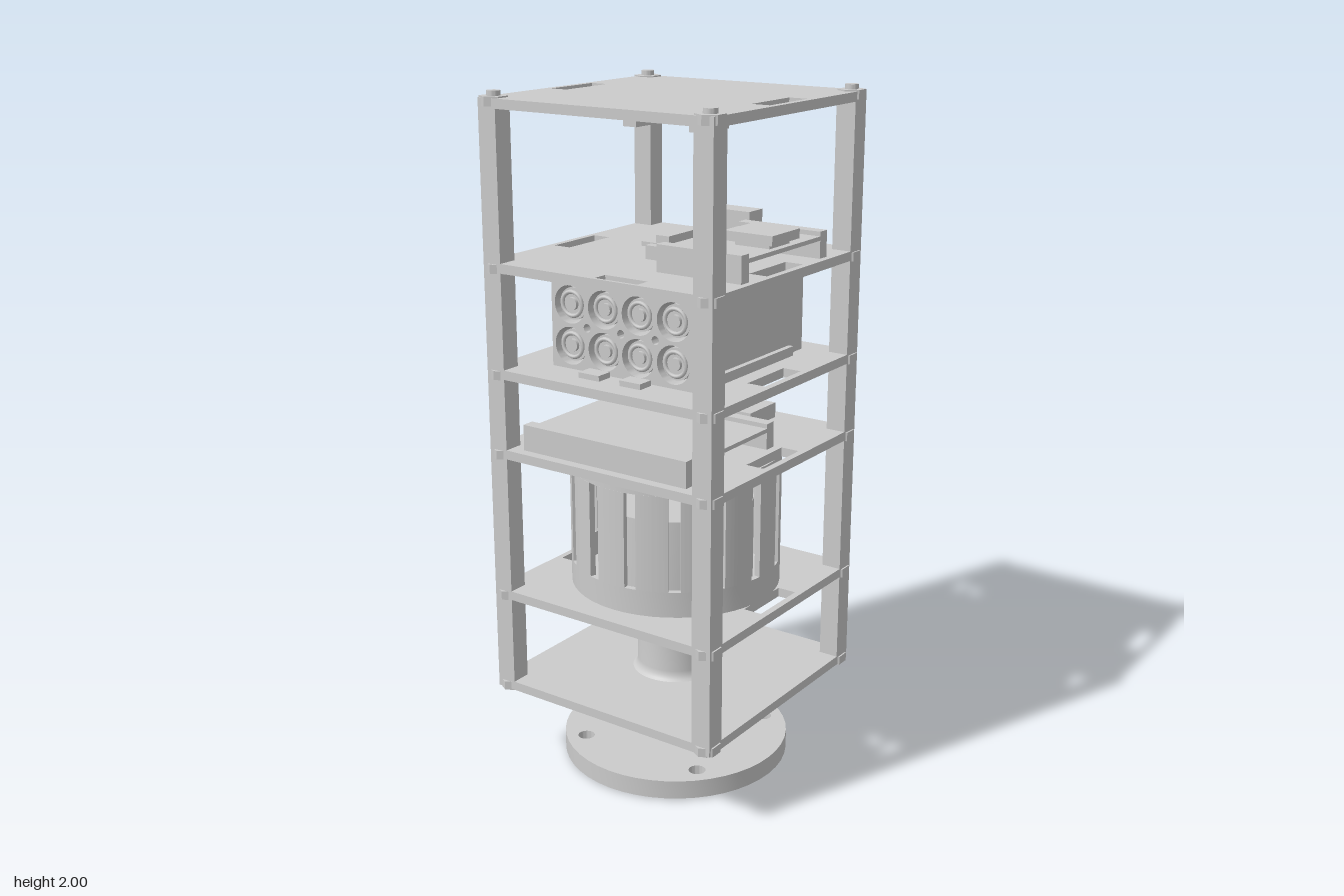
import * as THREE from 'three';
import { toCreasedNormals } from 'three/addons/utils/BufferGeometryUtils.js';

const rad = THREE.MathUtils.degToRad;

export function createModel() {
  const root = new THREE.Group();
  const mat = new THREE.MeshStandardMaterial({ color: 0xcccccc });

  const add = (name, geo) => {
    const m = new THREE.Mesh(geo, mat);
    m.name = name;
    root.add(m);
    return m;
  };
  // Box from its minimum and maximum on each axis
  const box = (name, x0, x1, y0, y1, z0, z1) =>
    add(name, new THREE.BoxGeometry(x1 - x0, y1 - y0, z1 - z0)
      .translate((x0 + x1) / 2, (y0 + y1) / 2, (z0 + z1) / 2));
  // Upright cylinder
  const cyl = (name, x, z, r, y0, y1, sides = 48) => {
    const g = new THREE.CylinderGeometry(r, r, y1 - y0, sides).translate(x, (y0 + y1) / 2, z);
    return add(name, toCreasedNormals(g, 0.6));
  };
  // Cylinder lying along x
  const cylX = (name, x0, x1, y, z, r) =>
    add(name, new THREE.CylinderGeometry(r, r, x1 - x0, 24).rotateZ(Math.PI / 2)
      .translate((x0 + x1) / 2, y, z));
  const extrude = (shape, depth) => toCreasedNormals(
    new THREE.ExtrudeGeometry(shape, { depth, bevelEnabled: false, curveSegments: 24 }), 0.6);
  // Plan outline (x, -z) raised from y0 to y1
  const riseY = (name, shape, y0, y1) =>
    add(name, extrude(shape, y1 - y0).rotateX(-Math.PI / 2).translate(0, y0, 0));
  // Side outline (-z, y) pushed from x0 to x1
  const pushX = (name, shape, x0, x1) =>
    add(name, extrude(shape, x1 - x0).rotateY(Math.PI / 2).translate(x0, 0, 0));
  const rect = (x0, x1, y0, y1, Type = THREE.Shape) => new Type([
    new THREE.Vector2(x0, y0), new THREE.Vector2(x1, y0),
    new THREE.Vector2(x1, y1), new THREE.Vector2(x0, y1)]);
  const circle = (x, y, r, Type = THREE.Shape) => new Type().absarc(x, y, r, 0, Math.PI * 2, false);
  const hole = (shape, path) => shape.holes.push(path);

  // Shelves with cable slots
  const levels = [0.245, 0.537, 0.972, 1.207, 1.51, 1.955];
  levels.forEach((y, i) => {
    const s = rect(-0.38, 0.38, -0.38, 0.38);
    if (i > 0) {
      hole(s, rect(-0.093, 0.093, 0.308, 0.362, THREE.Path));
      hole(s, rect(-0.093, 0.093, -0.36, -0.304, THREE.Path));
    }
    if (i === 4) hole(s, rect(-0.37, -0.325, -0.14, 0.0, THREE.Path));
    riseY('shelf', s, y, y + 0.027);
  });

  // Corner posts with hex nuts and bolt ends
  for (const x of [-0.35, 0.35]) for (const z of [-0.35, 0.35]) {
    box('post', x - 0.03, x + 0.03, 0.25, 1.975, z - 0.03, z + 0.03);
    levels.forEach((y, i) => {
      const y0 = i === 5 ? 1.96 : y - 0.003;
      const nut = new THREE.CylinderGeometry(0.04, 0.04, 0.026, 6).rotateY(Math.PI / 2)
        .translate(x, y0 + 0.013, z);
      add('nut', toCreasedNormals(nut, 0.3));
    });
    cyl('topBolt', x, z, 0.019, 1.96, 2.0, 20);
    cyl('bottomBolt', x, z, 0.021, 0.233, 0.285, 20);
  }

  // Round base with bolt holes
  const base = circle(0, 0, 0.34);
  for (let i = 0; i < 4; i++) {
    const a = rad(48 + 90 * i);
    hole(base, circle(0.28 * Math.cos(a), 0.28 * Math.sin(a), 0.025, THREE.Path));
  }
  riseY('base', base, 0.004, 0.06);
  cyl('baseHexSocket', 0, 0, 0.055, 0, 0.02, 6);

  // Hub, shaft and flared motor
  cyl('hub', 0, 0, 0.1, 0.06, 0.207);
  cyl('shaft', 0, 0, 0.04, 0.2, 0.28);
  const motor = [[0, 0.27], [0.132, 0.27], [0.123, 0.277], [0.117, 0.287], [0.115, 0.3], [0.115, 0.488], [0, 0.488]]
    .map(([x, y]) => new THREE.Vector2(x, y));
  add('motor', toCreasedNormals(new THREE.LatheGeometry(motor, 48), 0.6));
  cyl('motorCap', 0, 0, 0.03, 0.485, 0.505);

  // Index pin and its rounded sensor block
  cyl('indexPin', 0.23, 0, 0.02, 0.05, 0.3, 20);
  const block = new THREE.Shape();
  block.moveTo(-0.04, 0.27).lineTo(0.04, 0.27).quadraticCurveTo(0.06, 0.27, 0.06, 0.29)
    .lineTo(0.06, 0.42).quadraticCurveTo(0.06, 0.44, 0.04, 0.44)
    .lineTo(-0.04, 0.44).quadraticCurveTo(-0.06, 0.44, -0.06, 0.42)
    .lineTo(-0.06, 0.29).quadraticCurveTo(-0.06, 0.27, -0.04, 0.27);
  hole(block, circle(0, 0.365, 0.04, THREE.Path));
  pushX('sensorBlock', block, 0.21, 0.25);

  // Slotted drum: two rings joined by curved bars
  const [outer, inner] = [0.31, 0.292];
  for (const [y0, y1] of [[0.564, 0.64], [0.925, 0.972]]) {
    const ring = circle(0, 0, outer);
    hole(ring, circle(0, 0, inner, THREE.Path));
    riseY('drumRing', ring, y0, y1);
  }
  for (let i = 0; i < 15; i++) {
    const a0 = rad(-97.5 + 24 * i + 3.3), a1 = rad(-97.5 + 24 * (i + 1) - 3.3);
    const bar = new THREE.Shape().absarc(0, 0, outer, a0, a1, false).absarc(0, 0, inner, a1, a0, true);
    riseY('drumBar', bar, 0.64, 0.925);
  }
  cyl('drumCore', 0, 0, 0.23, 0.564, 0.82);

  // Lower electronics: board on two rails, and a flat module
  box('lowerRail', -0.35, -0.312, 0.998, 1.075, -0.28, 0.28);
  box('lowerRail', 0.05, 0.086, 0.998, 1.075, -0.28, 0.28);
  box('lowerBoard', -0.32, 0.06, 1.05, 1.062, -0.28, 0.28);
  box('flatModule', 0.19, 0.33, 0.998, 1.045, -0.135, 0.135);

  // Cell holder: block bored by two rows of four cells
  const holder = rect(-0.24, 0.24, 1.236, 1.488);
  const rows = [1.302, 1.42], columns = [-0.175, -0.058, 0.058, 0.175];
  for (const y of rows) for (const z of columns) {
    hole(holder, circle(z, y, 0.054, THREE.Path));
    cylX('cell', -0.245, 0.28, y, z, 0.046);
    cylX('cellTerminal', -0.255, 0.29, y, z, 0.018);
    for (const x of [-0.25, 0.285]) {
      add('cellRim', new THREE.TorusGeometry(0.034, 0.006, 6, 24).rotateY(Math.PI / 2).translate(x, y, z));
    }
  }
  for (const z of [-0.116, 0, 0.116]) hole(holder, circle(z, 1.361, 0.012, THREE.Path));
  pushX('cellHolder', holder, -0.26, 0.298);
  for (const s of [-1, 1]) {
    box('holderFoot', -0.18, 0.225, 1.233, 1.262, s * 0.247 - 0.009, s * 0.247 + 0.009);
    box('plug', -0.315, -0.265, 1.233, 1.25, s * 0.07 - 0.035, s * 0.07 + 0.035);
    cyl('plugPin', -0.285, s * 0.07, 0.01, 1.2, 1.24, 12);
  }
  box('switchBody', -0.25, -0.2, 1.285, 1.335, 0.238, 0.25);
  cylX('switchKnob', -0.24, -0.195, 1.31, 0.246, 0.01);

  // Upper electronics: raised board with a chip block
  for (const s of [-1, 1]) box('upperRail', s * 0.2 - 0.018, s * 0.2 + 0.018, 1.535, 1.613, 0.09, 0.36);
  box('upperBoard', -0.19, 0.19, 1.588, 1.6, 0.09, 0.36);
  box('chip', -0.07, 0.07, 1.613, 1.64, 0.21, 0.36);
  box('chipStem', -0.05, 0.05, 1.6, 1.613, 0.23, 0.34);

  // Socket box with two ports facing outward
  const socket = rect(-0.08, 0.08, 1.535, 1.628);
  for (const z of [-0.022, 0.022]) hole(socket, rect(z - 0.011, z + 0.011, 1.575, 1.61, THREE.Path));
  pushX('socketFace', socket, 0.29, 0.325);
  box('socketBody', 0.255, 0.291, 1.535, 1.628, -0.08, 0.08);

  // Small stand-off bracket: two feet, a bridge and a central nub (dir = way it points)
  const bracket = (y, z, dir) => {
    const span = (a, b) => [Math.min(y + dir * a, y + dir * b), Math.max(y + dir * a, y + dir * b)];
    for (const s of [-1, 1]) {
      box('bracketFoot', s * 0.08 - 0.017, s * 0.08 + 0.017, ...span(0, 0.04), z - 0.035, z + 0.035);
    }
    box('bracketBridge', -0.07, 0.07, ...span(0.03, 0.043), z - 0.068, z + 0.068);
    box('bracketNub', -0.065, 0.065, ...span(0.04, 0.065), z - 0.022, z + 0.022);
  };
  bracket(1.956, 0.11, -1);
  bracket(1.956, -0.11, -1);
  bracket(1.536, 0, 1);

  return root;
}
